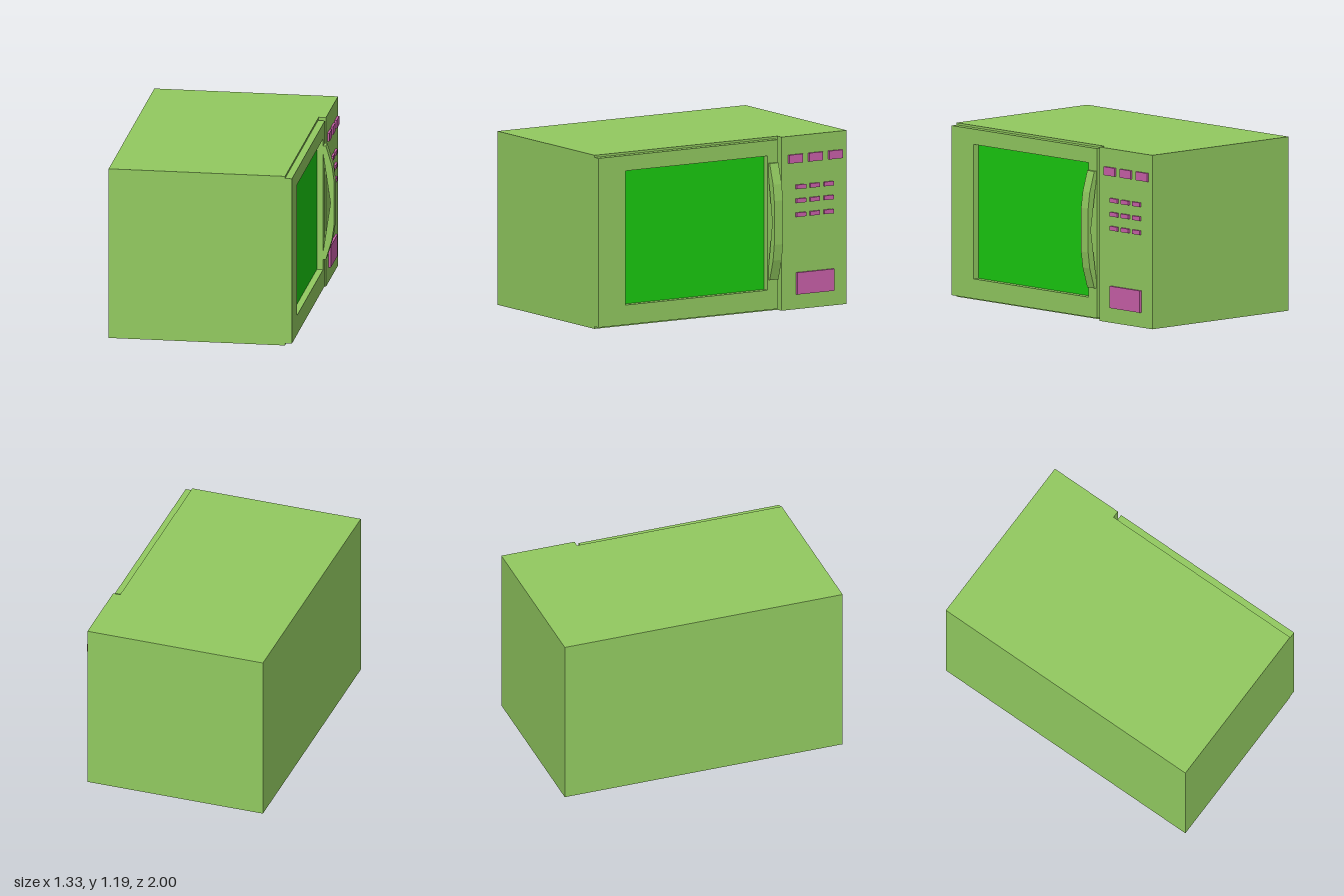
import * as THREE from 'three';

const paint = (color) => new THREE.MeshStandardMaterial({ color, flatShading: true });

export function createModel() {
  const model = new THREE.Group();
  model.name = 'microwave';
  const shell = paint(0x92ca60);
  const glass = paint(0x1aca10);
  const pink = paint(0xca60aa);

  const add = (parent, name, geometry, material) => {
    const mesh = new THREE.Mesh(geometry, material);
    mesh.name = name;
    parent.add(mesh);
    return mesh;
  };

  // Box given by its limits on each axis
  const block = (parent, name, [x0, x1], [y0, y1], [z0, z1], material) =>
    add(parent, name, new THREE.BoxGeometry(x1 - x0, y1 - y0, z1 - z0), material)
      .position.set((x0 + x1) / 2, (y0 + y1) / 2, (z0 + z1) / 2);

  const rectangle = (target, u0, u1, y0, y1) => {
    target.moveTo(u0, y0);
    target.lineTo(u1, y0);
    target.lineTo(u1, y1);
    target.lineTo(u0, y1);
    target.closePath();
    return target;
  };

  // Cabinet and control panel, which opens towards +x
  block(model, 'cabinet', [-0.665, 0.543], [0, 1.19], [-1, 1], shell);
  block(model, 'controlPanel', [0.543, 0.593], [0, 1.19], [-1, -0.474], shell);

  // Door frame, drawn with u = -z and extruded along x
  const frame = rectangle(new THREE.Shape(), -1, 0.445, 0.015, 1.175);
  frame.holes.push(rectangle(new THREE.Path(), -0.78, 0.365, 0.15, 1.07));
  const door = add(model, 'doorFrame',
    new THREE.ExtrudeGeometry(frame, { depth: 0.047, bevelEnabled: false }), shell);
  door.rotation.y = Math.PI / 2;
  door.position.x = 0.543;

  // Recessed window
  block(model, 'window', [0.54, 0.547], [0.15, 1.07], [-0.365, 0.78], glass);

  // Bowed handle, profile in x and y
  const profile = [
    [0.59, 0.22], [0.608, 0.22], [0.65, 0.36], [0.665, 0.47],
    [0.665, 0.77], [0.65, 0.88], [0.608, 1.02], [0.59, 1.02],
    [0.59, 0.96], [0.64, 0.62], [0.59, 0.28],
  ].map(([x, y]) => new THREE.Vector2(x, y));
  add(model, 'handle',
    new THREE.ExtrudeGeometry(new THREE.Shape(profile), { depth: 0.07, bevelEnabled: false }),
    shell).position.z = -0.44;

  // Buttons
  const buttons = new THREE.Group();
  buttons.name = 'buttons';
  model.add(buttons);
  const button = (name, z, y, width, height) =>
    block(buttons, name, [0.59, 0.608], [y - height / 2, y + height / 2],
      [z - width / 2, z + width / 2], pink);

  for (const z of [-0.584, -0.745, -0.907]) button('modeButton', z, 1.034, 0.11, 0.058);
  for (const y of [0.839, 0.744, 0.648]) {
    for (const z of [-0.627, -0.739, -0.851]) button('keypadButton', z, y, 0.076, 0.029);
  }
  button('doorReleaseButton', -0.742, 0.177, 0.298, 0.15);

  return model;
}
